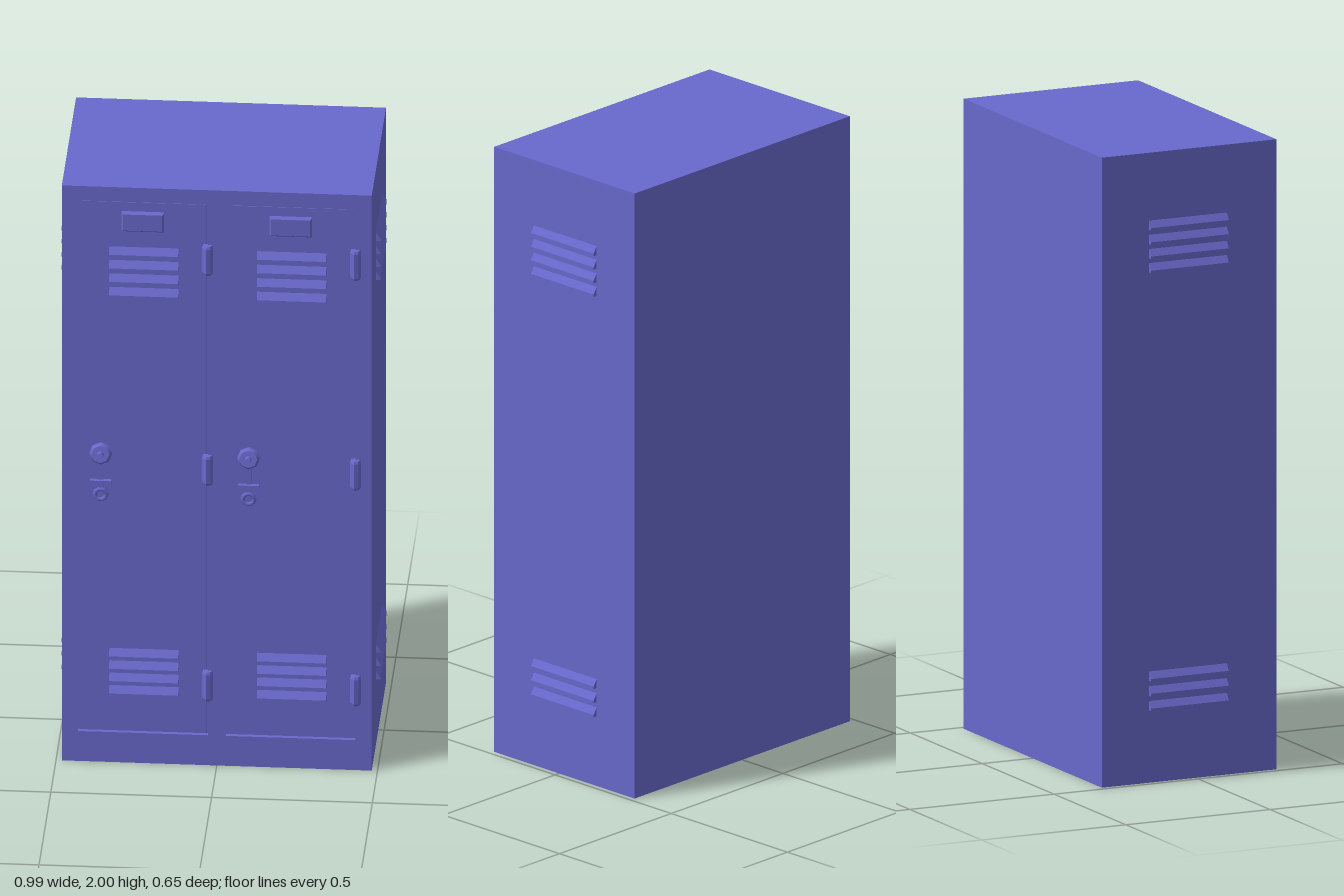
import * as THREE from 'three';

const paint = new THREE.MeshStandardMaterial({ color: 0x6868cc });
paint.name = 'blue paint';

const FRONT = 0.28, BACK = -0.325, DOOR = 0.274, W = 0.482;

function add(parent, name, geometry, x = 0, y = 0, z = 0) {
  const mesh = new THREE.Mesh(geometry, paint);
  mesh.name = name;
  mesh.position.set(x, y, z);
  parent.add(mesh);
  return mesh;
}

function rectangle(Type, x0, y0, x1, y1) {
  const p = new Type();
  p.moveTo(x0, y0);
  p.lineTo(x1, y0);
  p.lineTo(x1, y1);
  p.lineTo(x0, y1);
  p.closePath();
  return p;
}

// Wedge-shaped slats stacked upward; the wedge points along local +x
function louvre(parent, name, x, y, z, angle, length, count, pitch, out) {
  const group = new THREE.Group();
  group.name = name;
  group.position.set(x, y, z);
  group.rotation.y = angle;
  const profile = new THREE.Shape([
    new THREE.Vector2(-0.003, 0), new THREE.Vector2(out, 0),
    new THREE.Vector2(out, 0.008), new THREE.Vector2(-0.003, 0.034),
  ]);
  const slat = new THREE.ExtrudeGeometry(profile, { depth: length, bevelEnabled: false });
  slat.translate(0, 0, -length / 2);
  for (let i = 0; i < count; i++) add(group, 'slat', slat, 0, i * pitch, 0);
  parent.add(group);
}

// Hinge knuckle with chamfered front corners
function hinge(parent, x, y) {
  const profile = new THREE.Shape([
    new THREE.Vector2(-0.017, 0.008), new THREE.Vector2(-0.017, -0.008),
    new THREE.Vector2(-0.004, -0.022), new THREE.Vector2(0.010, -0.018),
    new THREE.Vector2(0.017, -0.006), new THREE.Vector2(0.017, 0.008),
  ]);
  const g = new THREE.ExtrudeGeometry(profile, {
    depth: 0.084, bevelEnabled: true, bevelThickness: 0.008, bevelSize: 0.003, bevelOffset: -0.003, bevelSegments: 1,
  });
  g.translate(0, 0, -0.042);
  g.rotateX(-Math.PI / 2);
  g.scale(1, 1, -1);
  // Mirroring in z reverses the winding, so turn it half round instead
  g.scale(1, 1, -1);
  add(parent, 'hinge', g, x, y, FRONT - 0.001);
}

// Turning knob with a hasp hanging below it
function latch(parent, x) {
  const group = new THREE.Group();
  group.name = 'latch';
  group.position.set(x, 0, DOOR);
  const knob = new THREE.Group();
  knob.name = 'knob';
  knob.position.set(0, 1.08, 0.025);
  knob.rotation.x = -0.2;
  const disc = new THREE.CylinderGeometry(0.028, 0.036, 0.014, 8);
  disc.rotateX(Math.PI / 2);
  add(knob, 'knobDisc', disc);
  const tip = new THREE.CylinderGeometry(0.008, 0.011, 0.018, 8);
  tip.rotateX(Math.PI / 2);
  add(knob, 'knobTip', tip, 0, 0, 0.015);
  const stem = new THREE.CylinderGeometry(0.012, 0.016, 0.026, 8);
  stem.rotateX(Math.PI / 2);
  add(knob, 'knobStem', stem, 0, 0, -0.014);
  group.add(knob);
  add(group, 'haspArm', new THREE.BoxGeometry(0.016, 0.07, 0.014), 0, 1.02, 0.012);
  add(group, 'haspBar', new THREE.BoxGeometry(0.066, 0.016, 0.014), 0, 0.98, 0.022);
  add(group, 'haspPost', new THREE.BoxGeometry(0.014, 0.03, 0.026), 0, 0.965, 0.012);
  add(group, 'haspRing', new THREE.TorusGeometry(0.018, 0.007, 6, 10), 0, 0.94, 0.024);
  parent.add(group);
}

export function createModel() {
  const model = new THREE.Group();
  model.name = 'locker';

  // Cabinet behind the door frame
  const depth = 0.264 - BACK;
  add(model, 'cabinet', new THREE.BoxGeometry(W * 2, 2, depth), 0, 1, BACK + depth / 2);

  // Front frame with two door openings
  const frame = rectangle(THREE.Shape, -W, 0, W, 2);
  for (const x of [-0.432, 0.028]) frame.holes.push(rectangle(THREE.Path, x, 0.104, x + 0.404, 1.95));
  const frameGeometry = new THREE.ExtrudeGeometry(frame, { depth: FRONT - 0.264, bevelEnabled: false });
  add(model, 'doorFrame', frameGeometry, 0, 0, 0.264);

  // Two matching doors with their fittings
  for (const x of [-0.23, 0.23]) {
    const door = new THREE.Group();
    door.name = x < 0 ? 'rightDoor' : 'leftDoor';
    add(door, 'doorPanel', new THREE.BoxGeometry(0.396, 1.838, 0.012), x, 1.027, DOOR - 0.006);

    const plate = rectangle(THREE.Shape, -0.066, -0.033, 0.066, 0.033);
    const plateGeometry = new THREE.ExtrudeGeometry(plate, {
      depth: 0.008, bevelEnabled: true, bevelThickness: 0.006, bevelSize: 0.005, bevelOffset: -0.005, bevelSegments: 1,
    });
    add(door, 'namePlate', plateGeometry, x, 1.882, DOOR);

    louvre(door, 'upperVent', x + 0.003, 1.62, DOOR, -Math.PI / 2, 0.215, 4, 0.047, 0.016);
    louvre(door, 'lowerVent', x + 0.003, 0.235, DOOR, -Math.PI / 2, 0.215, 4, 0.043, 0.016);
    for (const y of [0.28, 1.03, 1.76]) hinge(door, x + 0.202, y);
    latch(door, x - 0.13);
    model.add(door);
  }

  // Side vents
  for (const s of [-1, 1]) {
    const angle = s > 0 ? 0 : Math.PI;
    louvre(model, 'upperSideVent', s * W, 1.62, -0.027, angle, 0.27, 4, 0.045, 0.014);
    louvre(model, 'lowerSideVent', s * W, 0.23, -0.027, angle, 0.27, 3, 0.047, 0.014);
  }
  return model;
}
